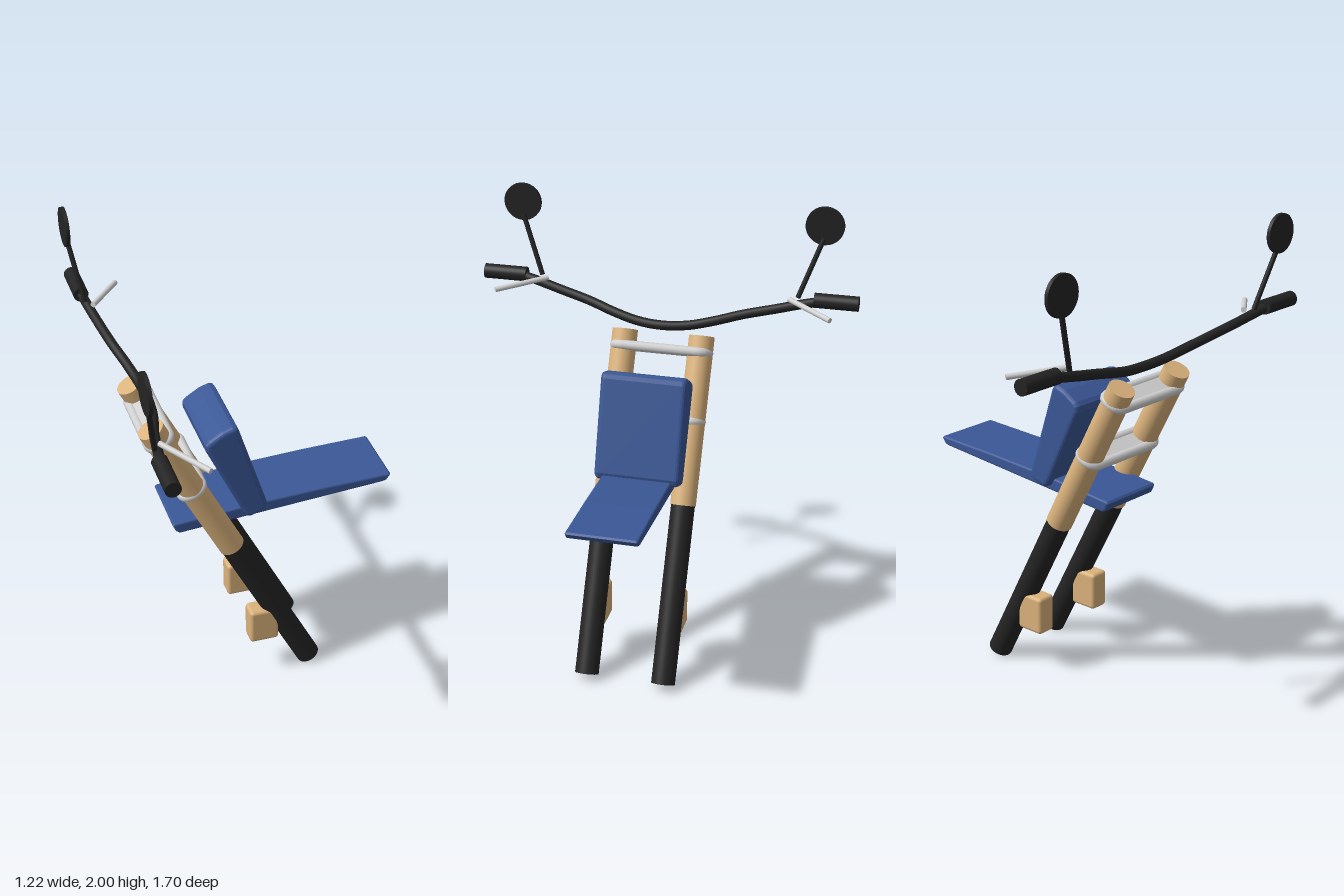
import * as THREE from 'three';
import { RoundedBoxGeometry } from 'three/addons/geometries/RoundedBoxGeometry.js';

const V = (x, y, z) => new THREE.Vector3(x, y, z);

export function createModel() {
  const model = new THREE.Group();
  const material = (name, color) => {
    const m = new THREE.MeshStandardMaterial({ color });
    m.name = name;
    return m;
  };
  const blue = material('blue paint', 0x3a5796);
  const tan = material('tan tube', 0xdab27c);
  const black = material('black', 0x232323);
  const silver = material('silver', 0xd0d0d0);

  const add = (name, geometry, mat, parent = model) => {
    const mesh = new THREE.Mesh(geometry, mat);
    mesh.name = name;
    parent.add(mesh);
    return mesh;
  };
  // Cylinder running between two points
  const rod = (name, a, b, r, mat, sides = 32) => {
    const mesh = add(name, new THREE.CylinderGeometry(r, r, a.distanceTo(b), sides), mat);
    mesh.position.copy(a).lerp(b, 0.5);
    mesh.quaternion.setFromUnitVectors(V(0, 1, 0), b.clone().sub(a).normalize());
    return mesh;
  };
  // Side profile in x and y, extruded across z with rounded edges
  const slab = (name, points, halfWidth, bevel) => {
    const shape = new THREE.Shape(points.map(([x, y]) => new THREE.Vector2(x, y)));
    const geometry = new THREE.ExtrudeGeometry(shape, {
      depth: 2 * (halfWidth - bevel), bevelEnabled: true, bevelThickness: bevel,
      bevelSize: bevel, bevelOffset: -bevel, bevelSegments: 4,
    });
    geometry.translate(0, 0, bevel - halfWidth);
    return add(name, geometry, blue);
  };

  // Parts that come in mirrored pairs
  for (const s of [1, -1]) {
    const side = s > 0 ? 'left' : 'right';
    const z = 0.175 * s;

    // Fork leg: tan upper tube, black lower tube
    rod(side + 'UpperForkTube', V(-0.468, 1.405, z), V(-0.128, 0.735, z), 0.057, tan);
    rod(side + 'LowerForkTube', V(-0.133, 0.745, z), V(0.232, 0.026, z), 0.053, black);

    // Block behind the lower tube
    const block = add(side + 'BrakeBlock', new RoundedBoxGeometry(0.133, 0.17, 0.09, 3, 0.016), tan);
    block.position.set(0.012, 0.275, z);

    // Grip, mirror and lever
    rod(side + 'Grip', V(-0.553, 1.59, 0.655 * s), V(-0.553, 1.59, 0.85 * s), 0.033, black);
    rod(side + 'MirrorStem', V(-0.553, 1.595, 0.582 * s), V(-0.597, 1.86, 0.678 * s), 0.011, black, 16);
    rod(side + 'Mirror', V(-0.611, 1.915, 0.68 * s), V(-0.595, 1.915, 0.68 * s), 0.085, black);
    rod(side + 'Lever', V(-0.525, 1.594, 0.548 * s), V(-0.38, 1.571, 0.75 * s), 0.012, silver, 16);
  }

  // Handlebar
  const half = [[-0.437, 1.453, 0], [-0.445, 1.46, 0.11], [-0.465, 1.482, 0.22], [-0.497, 1.515, 0.35],
    [-0.522, 1.545, 0.49], [-0.54, 1.57, 0.6], [-0.552, 1.588, 0.69]];
  const barPoints = [
    ...half.slice(1).reverse().map(([x, y, z]) => V(x, y, -z)),
    ...half.map(([x, y, z]) => V(x, y, z)),
  ];
  add('handlebar', new THREE.TubeGeometry(new THREE.CatmullRomCurve3(barPoints), 80, 0.021, 16), black);

  // Fork clamps: a rounded loop around both tubes with a web plate inside
  const loopPoints = [];
  for (const [cz, start] of [[0.172, 0], [-0.172, Math.PI]]) {
    for (let i = 0; i <= 8; i++) {
      const a = start + (i / 8) * Math.PI;
      loopPoints.push(V(0.048 * Math.cos(a), 0, cz + 0.042 * Math.sin(a)));
    }
  }
  const loop = new THREE.CurvePath();
  loopPoints.forEach((p, i) => loop.add(new THREE.LineCurve3(p, loopPoints[(i + 1) % loopPoints.length])));
  const smoothLoop = new THREE.CatmullRomCurve3(loop.getSpacedPoints(60).slice(0, -1), true);
  for (const [name, x, y] of [['upperClamp', -0.433, 1.342], ['lowerClamp', -0.3, 1.067]]) {
    const clamp = new THREE.Group();
    clamp.name = name;
    clamp.position.set(x, y, 0);
    clamp.rotation.z = 0.45;
    add(name + 'Loop', new THREE.TubeGeometry(smoothLoop, 120, 0.021, 12, true), silver, clamp);
    add(name + 'Plate', new THREE.BoxGeometry(0.1, 0.028, 0.36), silver, clamp);
    model.add(clamp);
  }

  // Long mudguard blade
  slab('mudguard', [[-0.35, 0.832], [0.57, 0.905], [0.587, 0.911], [0.605, 0.936], [0.597, 0.943],
    [0.3, 0.934], [0, 0.918], [-0.373, 0.885], [-0.381, 0.876], [-0.366, 0.843]], 0.155, 0.01);

  // Leaning number plate
  slab('frontPlate', [[-0.045, 0.873], [0.01, 0.893], [0.027, 0.908], [0.031, 0.932], [-0.093, 1.325],
    [-0.103, 1.342], [-0.122, 1.347], [-0.165, 1.332], [-0.225, 1.294], [-0.239, 1.278], [-0.238, 1.25],
    [-0.075, 0.9], [-0.063, 0.882]], 0.19, 0.02);

  return model;
}
